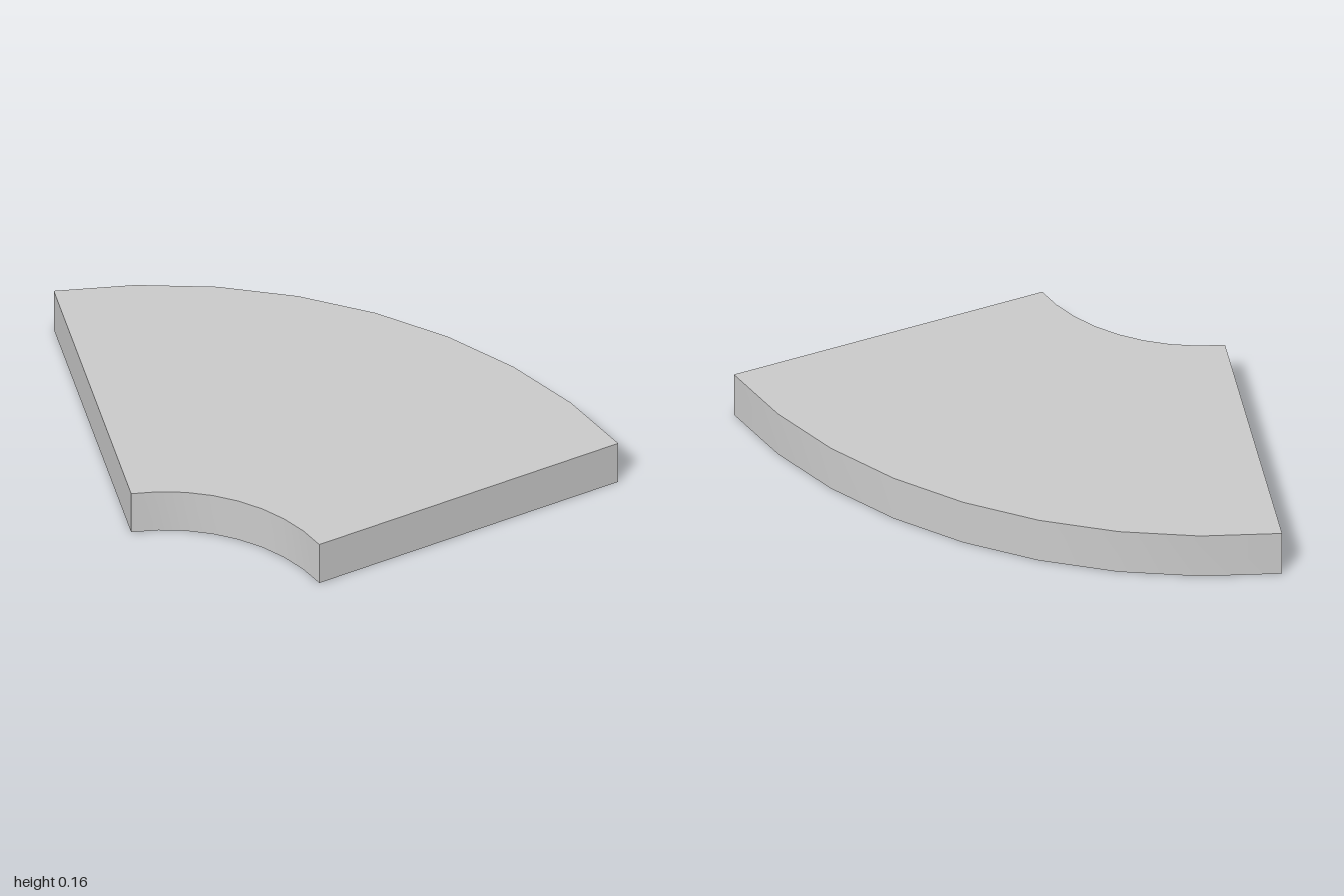
import * as THREE from 'three';
import { toCreasedNormals } from 'three/addons/utils/BufferGeometryUtils.js';

const HEIGHT = 0.157;
const HALF_ANGLE = THREE.MathUtils.degToRad(35);
const OUTER_R = 1 / Math.sin(HALF_ANGLE);
const INNER_R = OUTER_R / 3;

export function createModel() {
  const group = new THREE.Group();
  group.name = 'curvedSlab';

  // Plan outline, with shape y pointing to the back (-z)
  const start = Math.PI / 2 - HALF_ANGLE;
  const end = Math.PI / 2 + HALF_ANGLE;
  const outerCentre = 0.6 - OUTER_R;
  const innerCentre = -0.6 - INNER_R * Math.cos(HALF_ANGLE);
  const plan = new THREE.Shape();
  plan.absarc(0, outerCentre, OUTER_R, start, end, false);
  plan.absarc(0, innerCentre, INNER_R, end, start, true);
  plan.closePath();

  // Each arc gets eight segments; smooth along arcs, sharp at the edges
  const extruded = new THREE.ExtrudeGeometry(plan, {
    depth: HEIGHT, bevelEnabled: false, curveSegments: 4,
  });
  extruded.rotateX(-Math.PI / 2);
  const slab = new THREE.Mesh(
    toCreasedNormals(extruded, 0.5),
    new THREE.MeshStandardMaterial({ color: 0xcccccc }),
  );
  slab.name = 'wedgeSlab';
  group.add(slab);
  return group;
}
